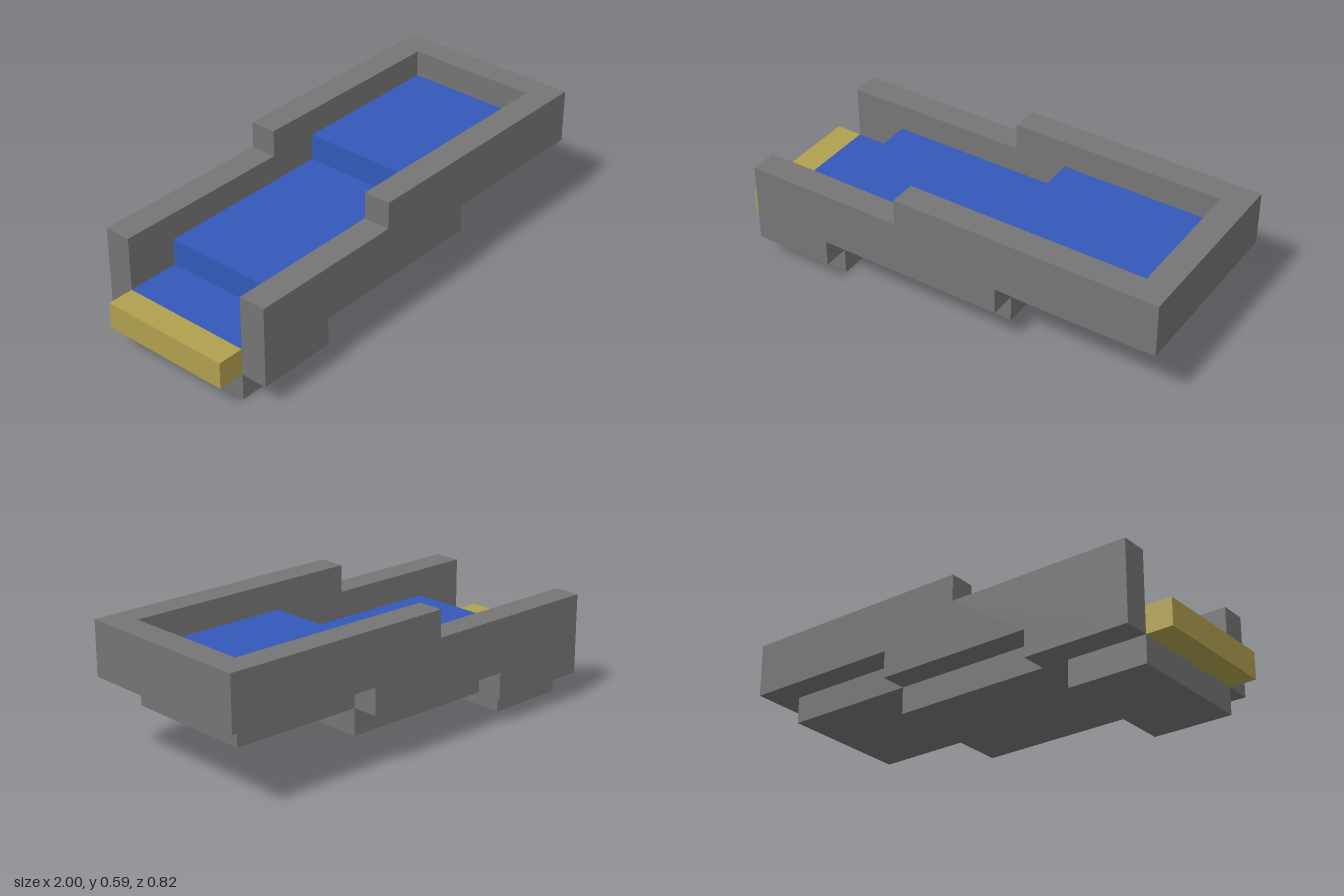
import * as THREE from 'three';

const U = 2 / 17; // one block

export function createModel() {
  const group = new THREE.Group();
  const mat = (name, color) => {
    const m = new THREE.MeshStandardMaterial({ color });
    m.name = name;
    return m;
  };
  const stone = mat('stone grey', 0x757575);
  const water = mat('water blue', 0x3459b9);
  const sand = mat('sand yellow', 0xb0a04f);

  // Side profile in block units, extruded from z0 to z1; x = 0 is the channel mouth
  const slab = (name, material, points, z0, z1) => {
    const shape = new THREE.Shape(points.map(([x, y]) => new THREE.Vector2((x + 1) * U - 1, y * U)));
    const geo = new THREE.ExtrudeGeometry(shape, { depth: (z1 - z0) * U, bevelEnabled: false });
    geo.translate(0, 0, z0 * U);
    const mesh = new THREE.Mesh(geo, material);
    mesh.name = name;
    group.add(mesh);
  };
  const rect = (x0, x1, y0, y1) => [[x0, y0], [x1, y0], [x1, y1], [x0, y1]];

  // Side walls: stepped underneath at "low", stepped on top at "high"
  const wall = (low, high) => [
    [0, 1], [low, 1], [low, 2], [10, 2], [10, 3], [16, 3],
    [16, 5], [high, 5], [high, 4], [0, 4],
  ];
  slab('frontWall', stone, wall(3, 6), 2.5, 3.5);
  slab('backWall', stone, wall(4, 7), -3.5, -2.5);
  slab('endWall', stone, rect(15, 16, 3, 5), -2.5, 2.5);

  // Stepped channel bed
  [[0, 3], [3, 10], [10, 15]].forEach(([x0, x1], i) =>
    slab('bedStep' + (i + 1), stone, rect(x0, x1, i, i + 1), -2.5, 2.5));

  // Water cascading over the bed
  slab('water', water, [
    [0, 1], [3, 1], [3, 2], [10, 2], [10, 3], [15, 3],
    [15, 4], [9, 4], [9, 3], [2, 3], [2, 2], [0, 2],
  ], -2.5, 2.5);

  // Sill at the mouth
  slab('mouthSill', sand, rect(-1, 0, 1, 2), -2.5, 2.5);

  return group;
}
